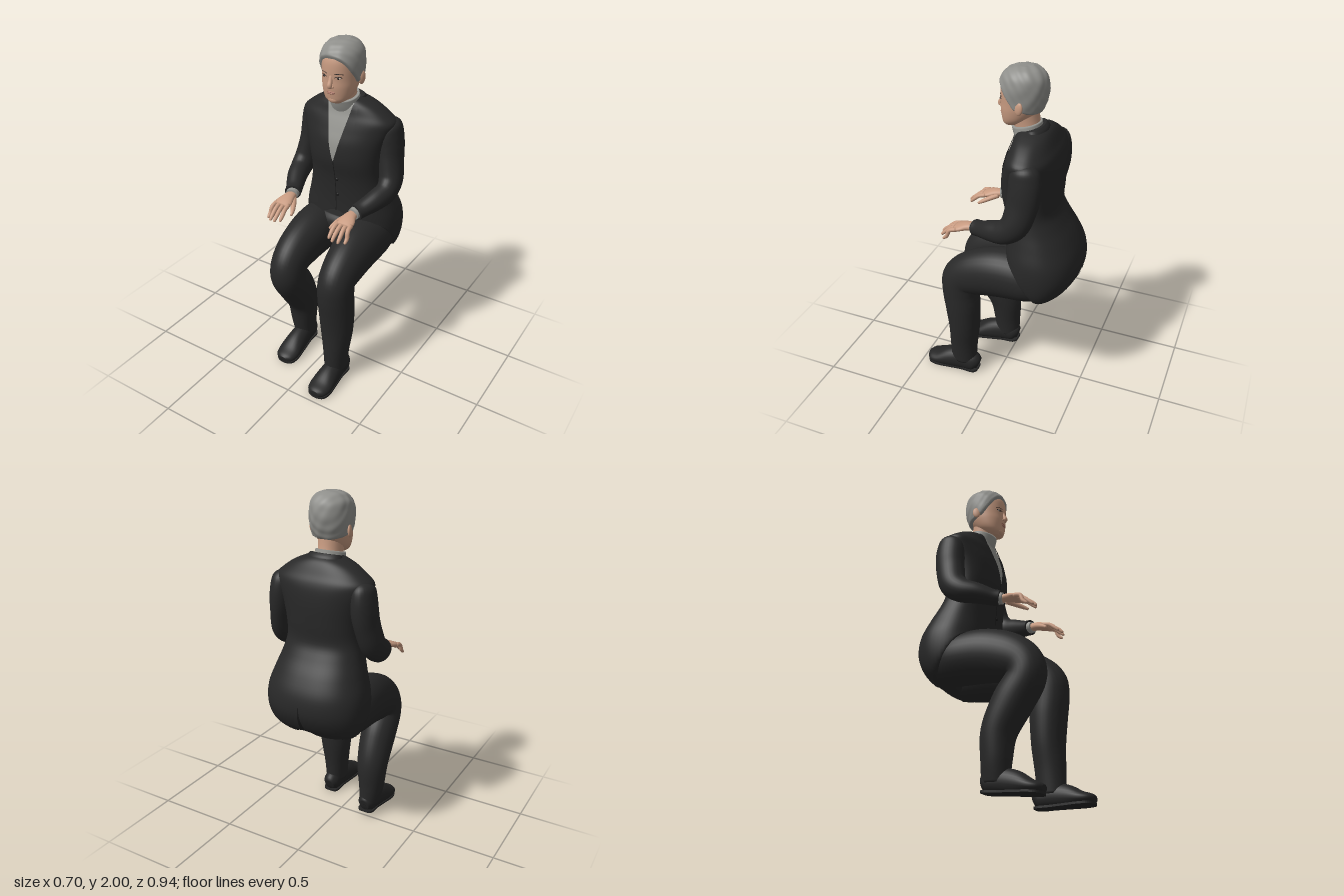
import * as THREE from 'three';

const mat = (name, color) => {
  const m = new THREE.MeshStandardMaterial({ color });
  m.name = name;
  return m;
};

// Smooth curve through rows of numbers, t from 0 to 1
function spline(rows, t) {
  const f = Math.min(Math.max(t, 0), 1) * (rows.length - 1);
  const i = Math.min(Math.floor(f), rows.length - 2), u = f - i;
  const at = k => rows[Math.min(Math.max(k, 0), rows.length - 1)];
  const [a, b, c, d] = [at(i - 1), at(i), at(i + 1), at(i + 2)];
  return b.map((_, k) => b[k] + 0.5 * u * (c[k] - a[k] + u * (2 * a[k] - 5 * b[k] + 4 * c[k] - d[k]
    + u * (3 * (b[k] - c[k]) + d[k] - a[k]))));
}

// Closed skin over a stack of rings, capped at both ends
function skin(rings) {
  const n = rings[0].length, pos = [], idx = [];
  rings.forEach(r => r.forEach(p => pos.push(p.x, p.y, p.z)));
  for (let i = 0; i < rings.length - 1; i++) for (let j = 0; j < n; j++) {
    const a = i * n + j, b = i * n + (j + 1) % n;
    idx.push(a, b, a + n, b, b + n, a + n);
  }
  [0, rings.length - 1].forEach((r, end) => {
    const c = rings[r].reduce((s, p) => s.add(p), new THREE.Vector3()).divideScalar(n);
    const k = pos.length / 3;
    pos.push(c.x, c.y, c.z);
    for (let j = 0; j < n; j++) {
      const a = r * n + j, b = r * n + (j + 1) % n;
      end ? idx.push(a, b, k) : idx.push(b, a, k);
    }
  });
  const g = new THREE.BufferGeometry();
  g.setAttribute('position', new THREE.Float32BufferAttribute(pos, 3));
  g.setIndex(idx);
  g.computeVertexNormals();
  return g;
}

// Limb along a path; rows are x, y, z, half width, half depth
function limb(rows, steps = 30, n = 24, rule = p => p) {
  const rings = [];
  for (let i = 0; i <= steps; i++) {
    const t = i / steps, c = spline(rows, t);
    const p0 = spline(rows, t - 0.01), p1 = spline(rows, t + 0.01);
    const dir = new THREE.Vector3(p1[0] - p0[0], p1[1] - p0[1], p1[2] - p0[2]).normalize();
    const side = new THREE.Vector3(1, 0, 0).addScaledVector(dir, -dir.x).normalize();
    const up = dir.clone().cross(side);
    rings.push(Array.from({ length: n }, (_, j) => {
      const a = j / n * Math.PI * 2;
      return rule(new THREE.Vector3(c[0], c[1], c[2])
        .addScaledVector(side, Math.cos(a) * c[3]).addScaledVector(up, Math.sin(a) * c[4]));
    }));
  }
  return skin(rings);
}

// Upright body of level sections; rows are y, half width, back z, front z
const power = (v, e) => Math.sign(v) * Math.abs(v) ** (2 / e);
function body(rows, e = 2.3, steps = 44, n = 56, rule = p => p) {
  const rings = [];
  for (let i = 0; i <= steps; i++) {
    const [y, w, zb, zf] = spline(rows, i / steps);
    rings.push(Array.from({ length: n }, (_, j) => {
      const a = j / n * Math.PI * 2;
      return rule(new THREE.Vector3(w * power(Math.cos(a), e), y,
        (zb + zf) / 2 - (zf - zb) / 2 * power(Math.sin(a), e)), (zb + zf) / 2);
    }));
  }
  return skin(rings);
}

// z of a body's front (dir 1) or back (dir -1) at x, y
function surfaceZ(rows, e, x, y, dir = 1) {
  let lo = 0, hi = 1;
  for (let k = 0; k < 24; k++) {
    const m = (lo + hi) / 2;
    spline(rows, m)[0] < y ? lo = m : hi = m;
  }
  const [, w, zb, zf] = spline(rows, lo);
  const r = Math.max(0, 1 - (Math.abs(x) / w) ** e) ** (1 / e);
  return (zb + zf) / 2 + dir * r * (zf - zb) / 2;
}

// Thin patch lying on a body between two side edges
function panel(rows, e, y0, y1, edgeA, edgeB, lift, dir = 1) {
  const g = new THREE.PlaneGeometry(1, 1, 12, 24), p = g.attributes.position;
  for (let i = 0; i < p.count; i++) {
    const v = p.getY(i) + 0.5, y = y0 + (y1 - y0) * v;
    const x = edgeA(v) + (edgeB(v) - edgeA(v)) * (p.getX(i) + 0.5);
    p.setXYZ(i, x, y, surfaceZ(rows, e, x, y, dir) + dir * lift);
  }
  g.computeVertexNormals();
  return g;
}

// Outline of the sole, heel at the start and toe at the far end
function soleOutline() {
  const half = [[0.03, 0.004], [0.05, 0.03], [0.049, 0.1], [0.059, 0.19], [0.067, 0.27], [0.054, 0.322], [0.02, 0.34]];
  const pts = [...half, ...half.map(([x, z]) => [-x, z]).reverse()].map(([x, z]) => new THREE.Vector2(x, z));
  return new THREE.SplineCurve([...pts, pts[0]]).getPoints(60);
}

export function createModel() {
  const model = new THREE.Group();
  const suit = mat('black suit', 0x282828), seam = mat('dark seams', 0x1a1a1a);
  const shoe = mat('black shoes', 0x252525), shirt = mat('grey shirt', 0x94948f);
  const hair = mat('grey hair', 0x8f8f8b), flesh = mat('skin', 0xc89b81);
  const lip = mat('lips', 0xad7867), dark = mat('eyes and brows', 0x2c221e);
  const white = mat('eye whites', 0xb5a89e);
  suit.side = seam.side = shirt.side = THREE.DoubleSide;
  const add = (name, geo, m, parent = model) => {
    const mesh = new THREE.Mesh(geo, m);
    mesh.name = name;
    parent.add(mesh);
    return mesh;
  };
  const blob = (name, m, x, y, z, sx, sy, sz) => {
    const b = add(name, new THREE.SphereGeometry(1, 20, 14), m);
    b.position.set(x, y, z);
    b.scale.set(sx, sy, sz);
    return b;
  };

  // Jacket, with the hem rising from the seat to the lap and arched between the legs
  const coat = [[0.675, 0.19, -0.325, -0.2], [0.7, 0.25, -0.37, -0.12], [0.76, 0.285, -0.425, -0.08],
    [0.85, 0.3, -0.463, -0.04], [0.95, 0.295, -0.455, -0.035], [1.05, 0.265, -0.41, -0.035],
    [1.14, 0.238, -0.355, -0.03], [1.22, 0.225, -0.318, -0.02], [1.32, 0.23, -0.322, 0],
    [1.42, 0.25, -0.325, -0.005], [1.5, 0.278, -0.32, -0.028], [1.55, 0.288, -0.308, -0.045],
    [1.59, 0.248, -0.287, -0.06], [1.63, 0.19, -0.266, -0.07], [1.655, 0.135, -0.248, -0.08],
    [1.672, 0.085, -0.225, -0.09]];
  const hem = p => 0.675 + 0.26 * THREE.MathUtils.smoothstep(p.z, -0.33, -0.08) + 0.06 * Math.exp(-((p.x / 0.08) ** 2));
  add('jacket', body(coat, 2.3, 75, 64, p => { p.y = Math.max(p.y, hem(p)); return p; }), suit);
  add('frontClosure', panel(coat, 2.3, 0.99, 1.33, () => -0.002, () => 0.003, 0.004), seam);
  add('backVent', panel(coat, 2.3, 0.75, 0.92, v => 0.014 * (1 - v), v => -0.014 * (1 - v), 0.004, -1), seam);
  [1.1, 1.2].forEach(y => blob('button', seam, 0.012, y, surfaceZ(coat, 2.3, 0, y) + 0.004, 0.01, 0.01, 0.005));

  // Shirt front, lapels and collars
  const vee = v => 0.08 * v ** 0.85;
  add('shirtFront', panel(coat, 2.3, 1.32, 1.655, v => -vee(v), vee, 0.005), shirt);
  for (const s of [-1, 1]) {
    const inner = v => s * vee(v), outer = v => s * (vee(v) + 0.055 * Math.sin(Math.PI * Math.min(1, v * 0.8 + 0.05)));
    add('lapel', panel(coat, 2.3, 1.32, 1.645, s > 0 ? inner : outer, s > 0 ? outer : inner, 0.007), suit);
  }
  const tilt = p => { p.y -= 0.25 * (p.z + 0.14); return p; };
  add('shirtCollar', body([[1.6, 0.1, -0.225, -0.065], [1.65, 0.088, -0.205, -0.046], [1.692, 0.082, -0.195, -0.034]],
    2, 8, 40, tilt), shirt);
  add('jacketCollar', body([[1.57, 0.14, -0.24, -0.12], [1.64, 0.11, -0.236, -0.11], [1.672, 0.094, -0.212, -0.12]],
    2, 10, 40, tilt), suit);

  // Head and neck
  add('neck', limb([[0, 1.58, -0.15, 0.078, 0.08], [0, 1.67, -0.12, 0.068, 0.072], [0, 1.76, -0.1, 0.072, 0.08]], 10), flesh);
  const skull = [[1.666, 0.03, -0.05, -0.004], [1.685, 0.062, -0.09, 0.013], [1.715, 0.083, -0.14, 0.02],
    [1.76, 0.096, -0.182, 0.026], [1.8, 0.101, -0.203, 0.026], [1.85, 0.104, -0.216, 0.028],
    [1.9, 0.104, -0.217, 0.024], [1.94, 0.095, -0.207, 0.007], [1.97, 0.07, -0.18, -0.026],
    [1.986, 0.032, -0.14, -0.075]];
  add('head', body(skull, 2.1, 50, 56), flesh);

  // Cropped hair: a shell that sinks into the skull along the hairline
  const line = [[0.03, 1.93], [0.005, 1.9], [-0.03, 1.845], [-0.075, 1.785], [-0.15, 1.762], [-0.3, 1.72]];
  const hairline = z => {
    const k = Math.max(1, line.findIndex(q => q[0] <= z));
    const [a, b] = [line[k - 1], line[k]];
    return a[1] + (b[1] - a[1]) * Math.min(1, Math.max(0, (z - a[0]) / (b[0] - a[0])));
  };
  add('hair', body(skull, 2.1, 90, 96, (p, cz) => {
    const out = new THREE.Vector3(p.x, (p.y - 1.84) * 0.8, p.z - cz).normalize();
    const d = THREE.MathUtils.clamp((p.y - hairline(p.z)) * 0.9, -0.015, 0.013);
    const tuft = 0.001 * (Math.sin(p.x * 110 + p.y * 60 + p.z * 35) + Math.sin(p.z * 140 - p.y * 90 + p.x * 47));
    return p.addScaledVector(out, d + tuft);
  }), hair);

  // Face
  const faceZ = (x, y) => surfaceZ(skull, 2.1, x, y);
  add('nose', limb([[0, 1.83, 0.019, 0.01, 0.008], [0, 1.8, 0.027, 0.012, 0.011],
    [0, 1.775, 0.036, 0.014, 0.013], [0, 1.763, 0.031, 0.013, 0.009]], 16, 16), flesh);
  blob('upperLip', lip, 0, 1.737, faceZ(0, 1.737), 0.027, 0.0045, 0.006);
  blob('lowerLip', lip, 0, 1.729, faceZ(0, 1.729), 0.023, 0.0055, 0.006);
  blob('chin', flesh, 0, 1.69, 0.002, 0.032, 0.02, 0.016);
  for (const s of [-1, 1]) {
    const x = s * 0.043, z = faceZ(x, 1.818);
    blob('eyeWhite', white, x, 1.818, z - 0.002, 0.015, 0.006, 0.006);
    blob('iris', dark, x, 1.818, z + 0.001, 0.008, 0.006, 0.005);
    add('upperLid', limb([-0.018, -0.006, 0.007, 0.018].map((d, i) =>
      [x + d, 1.82 + (i % 3 ? 0.005 : 0), faceZ(x + d, 1.821) + 0.001, 0.002, 0.002]), 10, 8), dark);
    add('eyebrow', limb([-0.022, -0.008, 0.008, 0.022].map((d, i) =>
      [x + d, 1.837 + (i % 3 ? 0.003 : 0), faceZ(x + d, 1.84) - 0.001, 0.002, 0.002]), 10, 8), dark);
    blob('nostrilWing', flesh, s * 0.012, 1.767, 0.027, 0.008, 0.007, 0.009);
    const ear = blob('ear', flesh, s * 0.112, 1.8, -0.108, 0.011, 0.036, 0.024);
    ear.rotation.set(-0.15, s * -0.3, 0);
  }

  // Trousers seat
  add('trouserSeat', body([[0.735, 0.13, -0.33, -0.2], [0.77, 0.23, -0.39, -0.08], [0.83, 0.275, -0.44, -0.03],
    [0.9, 0.26, -0.43, -0.02], [0.945, 0.22, -0.42, -0.045]], 2.3, 20, 40), suit);

  for (const s of [-1, 1]) {
    const side = (rows) => rows.map(([x, ...rest]) => [s * x, ...rest]);

    // Legs: the left shin stands upright, the right one is drawn back
    const shin = s > 0
      ? [[0.165, 0.5, 0.22, 0.105, 0.107], [0.165, 0.35, 0.215, 0.096, 0.096], [0.165, 0.2, 0.222, 0.075, 0.087], [0.165, 0.07, 0.225, 0.062, 0.082]]
      : [[0.168, 0.5, 0.155, 0.104, 0.115], [0.174, 0.35, 0.08, 0.093, 0.1], [0.176, 0.2, 0.065, 0.076, 0.085], [0.17, 0.08, 0.058, 0.058, 0.076]];
    add('trouserLeg', limb(side([[0.145, 0.785, -0.34, 0.095, 0.105], [0.15, 0.803, -0.2, 0.136, 0.145],
      [0.157, 0.8, -0.03, 0.132, 0.155], [0.163, 0.762, 0.12, 0.116, 0.143], [0.165, 0.705, 0.213, 0.104, 0.122],
      [0.165, 0.62, 0.23, 0.104, 0.112], ...shin]), 60, 32), suit);

    // Shoe with a flat sole
    const foot = new THREE.Group();
    foot.name = 'foot';
    foot.position.set(s * 0.167, 0, s > 0 ? 0.125 : -0.02);
    if (s < 0) { foot.rotation.x = 0.1; foot.position.y = 0.034; }
    model.add(foot);
    add('shoe', limb([[0, 0.045, 0, 0.03, 0.035], [0, 0.055, 0.03, 0.052, 0.065], [0, 0.06, 0.1, 0.056, 0.075],
      [0, 0.05, 0.19, 0.065, 0.068], [0, 0.035, 0.27, 0.071, 0.042], [0, 0.03, 0.32, 0.058, 0.03],
      [0, 0.028, 0.342, 0.028, 0.02]], 30, 28, p => { p.y = Math.max(p.y, 0.008); return p; }), shoe, foot);
    add('sole', new THREE.ExtrudeGeometry(new THREE.Shape(soleOutline()), { depth: 0.012, bevelEnabled: false })
      .rotateX(Math.PI / 2).translate(0, 0.012, 0), shoe, foot);

    // Sleeve, cuff and hand
    add('sleeve', limb(side([[0.235, 1.56, -0.19, 0.025, 0.04], [0.243, 1.53, -0.195, 0.06, 0.075],
      [0.25, 1.48, -0.2, 0.066, 0.088], [0.256, 1.41, -0.2, 0.069, 0.09], [0.266, 1.33, -0.19, 0.066, 0.087],
      [0.284, 1.225, -0.16, 0.066, 0.08], [0.288, 1.168, -0.1, 0.06, 0.07], [0.265, 1.142, -0.02, 0.057, 0.06],
      [0.228, 1.115, 0.06, 0.049, 0.047], [0.212, 1.106, 0.1, 0.047, 0.046]]), 54, 28), suit);
    add('shirtCuff', limb(side([[0.213, 1.107, 0.09, 0.038, 0.036], [0.206, 1.102, 0.12, 0.036, 0.032]]), 4, 24), shirt);
    add('palm', limb(side([[0.206, 1.102, 0.11, 0.028, 0.022], [0.204, 1.1, 0.15, 0.037, 0.022],
      [0.206, 1.09, 0.19, 0.05, 0.02], [0.207, 1.08, 0.225, 0.049, 0.014]]), 14, 20), flesh);
    [[0.168, 0.162, 0.3], [0.195, 0.192, 0.314], [0.221, 0.224, 0.308], [0.246, 0.255, 0.285]].forEach(([x0, x1, z], i) =>
      add('finger', limb(side([[x0, 1.085, 0.205, 0.013, 0.012], [(x0 + x1) / 2, 1.074, 0.245, 0.0125, 0.012],
        [x1, 1.05 - i * 0.004, z - 0.025, 0.0115, 0.011], [x1, 1.03 - i * 0.004, z - 0.004, 0.008, 0.008],
        [x1, 1.025 - i * 0.004, z, 0.003, 0.003]]), 14, 12), flesh));
    add('thumb', limb(side([[0.185, 1.092, 0.13, 0.018, 0.016], [0.158, 1.078, 0.17, 0.016, 0.015],
      [0.137, 1.06, 0.21, 0.012, 0.012], [0.128, 1.045, 0.237, 0.006, 0.007]]), 14, 12), flesh);
  }
  return model;
}
